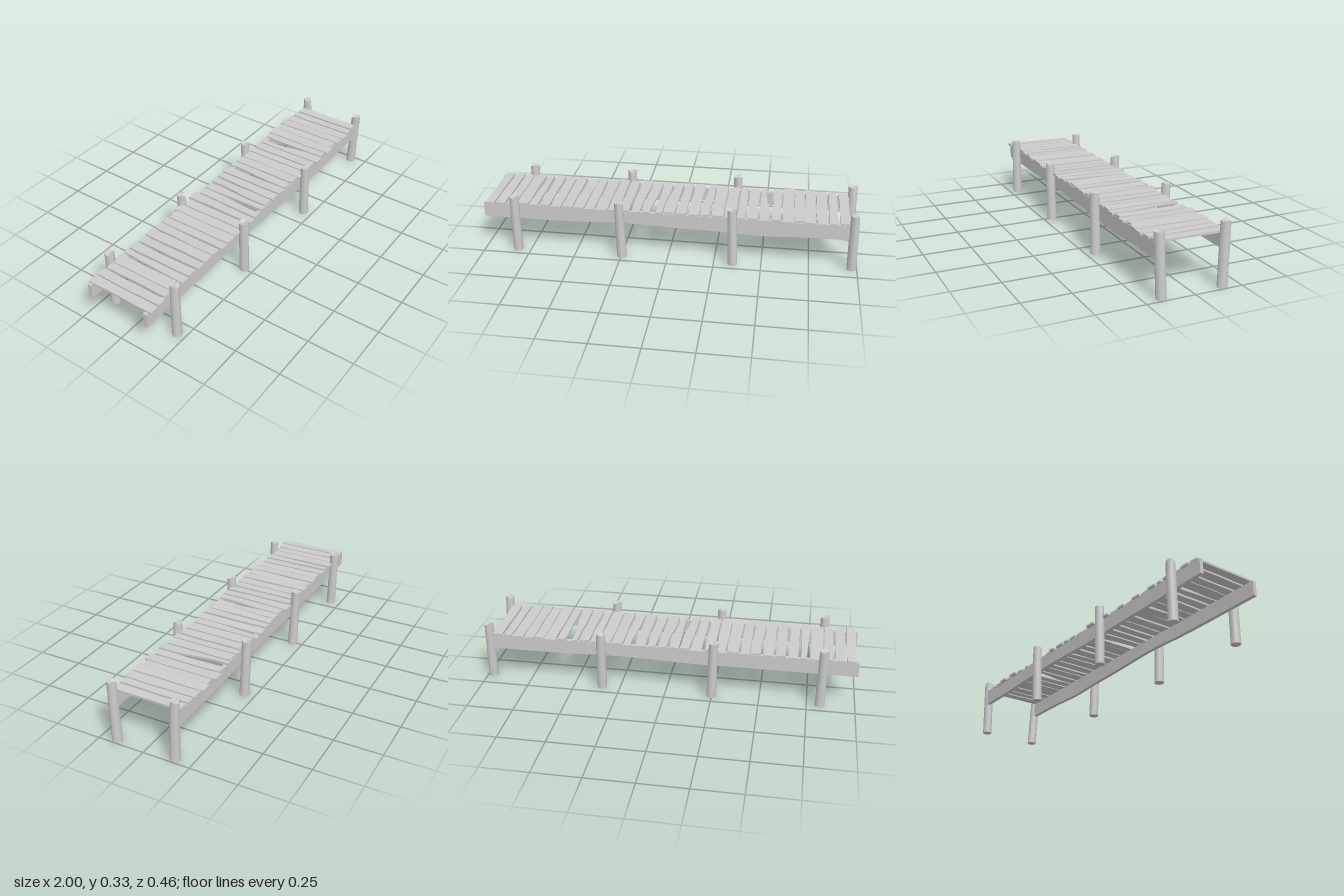
import * as THREE from 'three';

const material = new THREE.MeshStandardMaterial({ color: 0xcccccc, roughness: 0.9 });
const flatMaterial = new THREE.MeshStandardMaterial({ color: 0xcccccc, roughness: 0.9, flatShading: true });

// Small seeded generator, returns -1..1
function seeded(seed) {
  let s = seed;
  return () => {
    s = (s * 16807) % 2147483647;
    return (s / 2147483647) * 2 - 1;
  };
}

// Move every vertex of a geometry by a rule
function warp(geometry, rule) {
  const p = geometry.attributes.position;
  const v = new THREE.Vector3();
  for (let i = 0; i < p.count; i++) {
    v.fromBufferAttribute(p, i);
    rule(v);
    p.setXYZ(i, v.x, v.y, v.z);
  }
  geometry.computeVertexNormals();
  return geometry;
}

function part(name, geometry, mat) {
  const mesh = new THREE.Mesh(geometry, mat);
  mesh.name = name;
  return mesh;
}

const bump = (x, centre, width) => Math.exp(-(((x - centre) / width) ** 2));

// Leaning round post with a worn, uneven top
function makePost(base, top, phase) {
  const height = 0.322;
  const geometry = new THREE.CylinderGeometry(0.0245, 0.0255, height, 14, 4);
  warp(geometry, (v) => {
    const t = v.y / height + 0.5;
    const r = Math.hypot(v.x, v.z);
    if (t > 0.99) {
      const a = Math.atan2(v.z, v.x) + phase;
      v.y += r > 0.01 ? 0.003 * Math.sin(3 * a) + 0.003 * Math.cos(2 * a) : -0.004;
      const dent = 1 - 0.12 * Math.max(0, Math.sin(2 * a));
      v.x *= dent;
      v.z *= dent;
    }
    v.x += THREE.MathUtils.lerp(base[0], top[0], t);
    v.z += THREE.MathUtils.lerp(base[1], top[1], t);
    v.y += height / 2;
  });
  return part('post', geometry, material);
}

// Long side beam with a wavering lower edge
function makeBeam(name, z, lowerEdge) {
  const geometry = new THREE.BoxGeometry(1.97, 0.08, 0.02, 28, 1, 1);
  warp(geometry, (v) => {
    v.x -= 0.015;
    v.y = v.y > 0 ? 0.258 : lowerEdge(v.x);
    v.z += z;
  });
  return part(name, geometry, flatMaterial);
}

// Deck plank; shift = [left edge back, right edge back, left edge front, right edge front]
function makePlank(x0, x1, shift, rand) {
  const back = -0.187 + rand() * 0.012;
  const front = 0.187 + rand() * 0.012;
  const sag = rand() * 0.002;
  const tilt = rand() * 0.0015;
  const lift = rand() * 0.001;
  const geometry = new THREE.BoxGeometry(1, 0.011, 1, 1, 1, 8);
  warp(geometry, (v) => {
    const t = v.z + 0.5;
    const right = v.x > 0;
    const blend = THREE.MathUtils.smoothstep(t, 0.15, 0.85);
    const move = THREE.MathUtils.lerp(shift[right ? 1 : 0], shift[right ? 3 : 2], blend);
    v.y += 0.263 + lift + sag * Math.sin(Math.PI * t) + tilt * (right ? 1 : -1) + (t - 0.5) * 0.003;
    v.x = (right ? x1 : x0) + move + 0.0012 * Math.sin(9 * t + x0 * 40 + (right ? 2 : 0));
    v.z = THREE.MathUtils.lerp(back, front, t);
  });
  return part('plank', geometry, flatMaterial);
}

// Left and right edge of each plank along x
const plankEdges = [
  [-0.985, -0.937], [-0.928, -0.878], [-0.865, -0.82], [-0.815, -0.752],
  [-0.74, -0.702], [-0.688, -0.638], [-0.625, -0.574], [-0.565, -0.51],
  [-0.504, -0.45], [-0.44, -0.392], [-0.382, -0.322], [-0.316, -0.264],
  [-0.254, -0.205], [-0.19, -0.14], [-0.13, -0.077], [-0.067, -0.022],
  [-0.013, 0.04], [0.051, 0.096], [0.11, 0.163], [0.177, 0.225],
  [0.232, 0.291], [0.297, 0.355], [0.366, 0.405], [0.415, 0.468],
  [0.478, 0.53], [0.543, 0.587], [0.596, 0.655], [0.66, 0.71],
  [0.714, 0.768], [0.774, 0.83], [0.84, 0.882], [0.895, 0.945],
];

// Warped or split planks
const warpedPlanks = {
  4: [0.008, 0, -0.005, 0.003],
  8: [0.008, 0.006, 0, 0],
  13: [0, 0.005, 0, -0.008],
  14: [0.004, 0.003, -0.006, -0.016],
  15: [0, 0.004, 0.005, -0.008],
  16: [0.008, 0, -0.01, -0.004],
  17: [0.004, 0, -0.006, 0],
  19: [0.01, 0, -0.006, -0.004],
  24: [0, -0.026, 0, 0.002],
};

export function createModel() {
  const group = new THREE.Group();
  group.name = 'woodenJetty';

  // Deck
  const deck = new THREE.Group();
  deck.name = 'deck';
  const rand = seeded(4711);
  for (let i = 0; i < 10; i++) rand();
  plankEdges.forEach(([x0, x1], i) => {
    deck.add(makePlank(x0, x1, warpedPlanks[i] || [0, 0, 0, 0], rand));
  });
  group.add(deck);

  // Side beams
  group.add(makeBeam('frontBeam', 0.17, (x) => 0.178 + 0.012 * bump(x, -0.2, 0.22) - 0.01 * bump(x, 0.5, 0.15)));
  group.add(makeBeam('backBeam', -0.17, (x) => 0.179 + 0.009 * bump(x, 0.25, 0.25) - 0.002 * bump(x, -0.15, 0.15)));

  // Posts: base [x, z], top [x, z]
  const posts = new THREE.Group();
  posts.name = 'posts';
  [
    [[-0.82, 0.203], [-0.82, 0.203]],
    [[-0.246, 0.2], [-0.256, 0.203]],
    [[0.35, 0.2], [0.338, 0.201]],
    [[0.972, 0.163], [0.964, 0.176]],
    [[-0.818, -0.192], [-0.82, -0.198]],
    [[-0.248, -0.192], [-0.255, -0.2]],
    [[0.346, -0.192], [0.342, -0.204]],
    [[0.972, -0.157], [0.967, -0.166]],
  ].forEach(([base, top], i) => posts.add(makePost(base, top, i * 1.3)));
  group.add(posts);

  return group;
}
